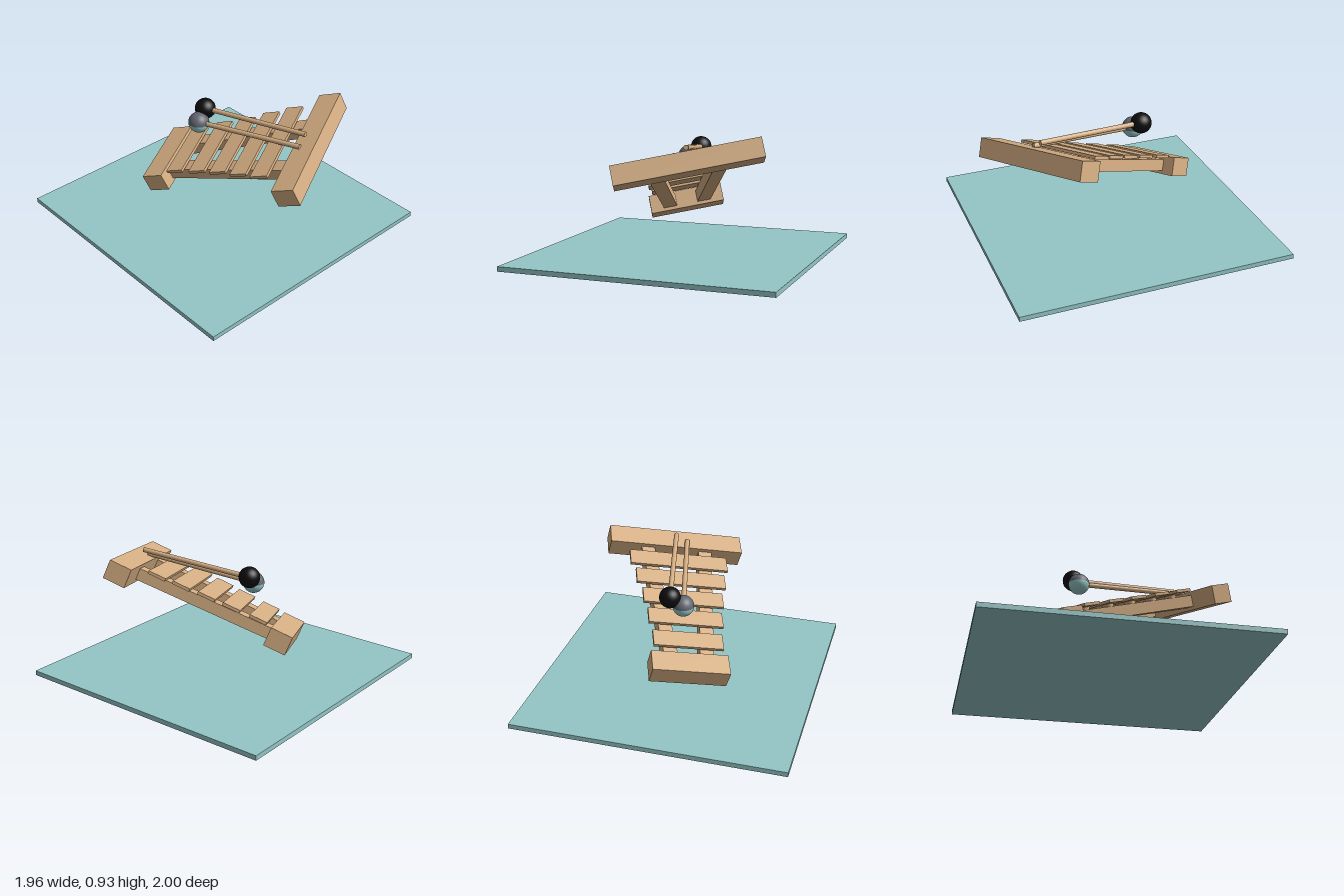
import * as THREE from 'three';

export function createModel() {
  const model = new THREE.Group();
  const material = (name, color) => {
    const m = new THREE.MeshStandardMaterial({ color });
    m.name = name;
    return m;
  };
  const wood = material('wood', 0xd4ad82);
  const teal = material('teal', 0x94c6c6);
  const black = material('black', 0x0c0c0c);
  const grey = material('grey', 0x62666f);

  const add = (parent, name, geometry, mat, x = 0, y = 0, z = 0) => {
    const mesh = new THREE.Mesh(geometry, mat);
    mesh.name = name;
    mesh.position.set(x, y, z);
    parent.add(mesh);
    return mesh;
  };

  // Flat ground slab
  add(model, 'base', new THREE.BoxGeometry(1.96, 0.035, 2), teal, 0, 0.0175, 0);

  // Tilted xylophone, built flat in its own frame
  const xylophone = new THREE.Group();
  xylophone.name = 'xylophone';
  const xAxis = new THREE.Vector3(0.888, 0.18, -0.422).normalize();
  const zAxis = new THREE.Vector3(0.341, 0.356, 0.87).normalize();
  const yAxis = new THREE.Vector3().crossVectors(zAxis, xAxis).normalize();
  zAxis.crossVectors(xAxis, yAxis);
  xylophone.quaternion.setFromRotationMatrix(new THREE.Matrix4().makeBasis(xAxis, yAxis, zAxis));
  xylophone.position.set(0.054, 0.535, 0.107);
  model.add(xylophone);

  // End blocks
  add(xylophone, 'longEndBlock', new THREE.BoxGeometry(1.015, 0.138, 0.165), wood, 0, 0, 0.59);
  add(xylophone, 'shortEndBlock', new THREE.BoxGeometry(0.555, 0.138, 0.165), wood, 0, 0, -0.59);

  // Two rails that spread towards the long end
  const railX = (z) => 0.175 + 0.09 * z;
  for (const side of [-1, 1]) {
    const rail = add(xylophone, side > 0 ? 'leftRail' : 'rightRail',
      new THREE.BoxGeometry(0.1, 0.085, 1.12), wood, side * railX(0), -0.002, 0);
    rail.rotation.y = side * Math.atan(0.09);
  }

  // Tone bars with flush pegs, each as [length, z]
  const bars = [[0.74, 0.357], [0.67, 0.178], [0.595, -0.008], [0.546, -0.196], [0.505, -0.4]];
  const barTop = 0.083;
  for (const [length, z] of bars) {
    add(xylophone, 'toneBar', new THREE.BoxGeometry(length, 0.022, 0.133), wood, 0.004, barTop - 0.011, z);
    for (const side of [-1, 1]) {
      add(xylophone, 'peg', new THREE.CylinderGeometry(0.042, 0.042, 0.06, 24), wood,
        side * railX(z), barTop - 0.03, z);
    }
  }

  // Mallet sticks
  const addStick = (name, from, to) => {
    const a = new THREE.Vector3(...from), b = new THREE.Vector3(...to);
    const dir = b.clone().sub(a);
    const mid = a.clone().add(b).multiplyScalar(0.5);
    const stick = add(model, name, new THREE.CylinderGeometry(0.018, 0.018, dir.length(), 16), wood, mid.x, mid.y, mid.z);
    stick.quaternion.setFromUnitVectors(new THREE.Vector3(0, 1, 0), dir.normalize());
  };
  const headA = [0.04, 0.765, -0.228], headB = [-0.048, 0.697, -0.2];
  addStick('leftMalletStick', headA, [0.232, 0.85, 0.59]);
  addStick('rightMalletStick', headB, [0.155, 0.795, 0.615]);

  // Mallet heads: one black, one grey above and teal below
  const r = 0.076;
  add(model, 'leftMalletHead', new THREE.SphereGeometry(r, 32, 24), black, ...headA);
  add(model, 'rightMalletHeadTop',
    new THREE.SphereGeometry(r, 32, 12, 0, Math.PI * 2, 0, Math.PI / 2), grey, ...headB);
  add(model, 'rightMalletHeadBottom',
    new THREE.SphereGeometry(r, 32, 12, 0, Math.PI * 2, Math.PI / 2, Math.PI / 2), teal, ...headB);

  return model;
}
